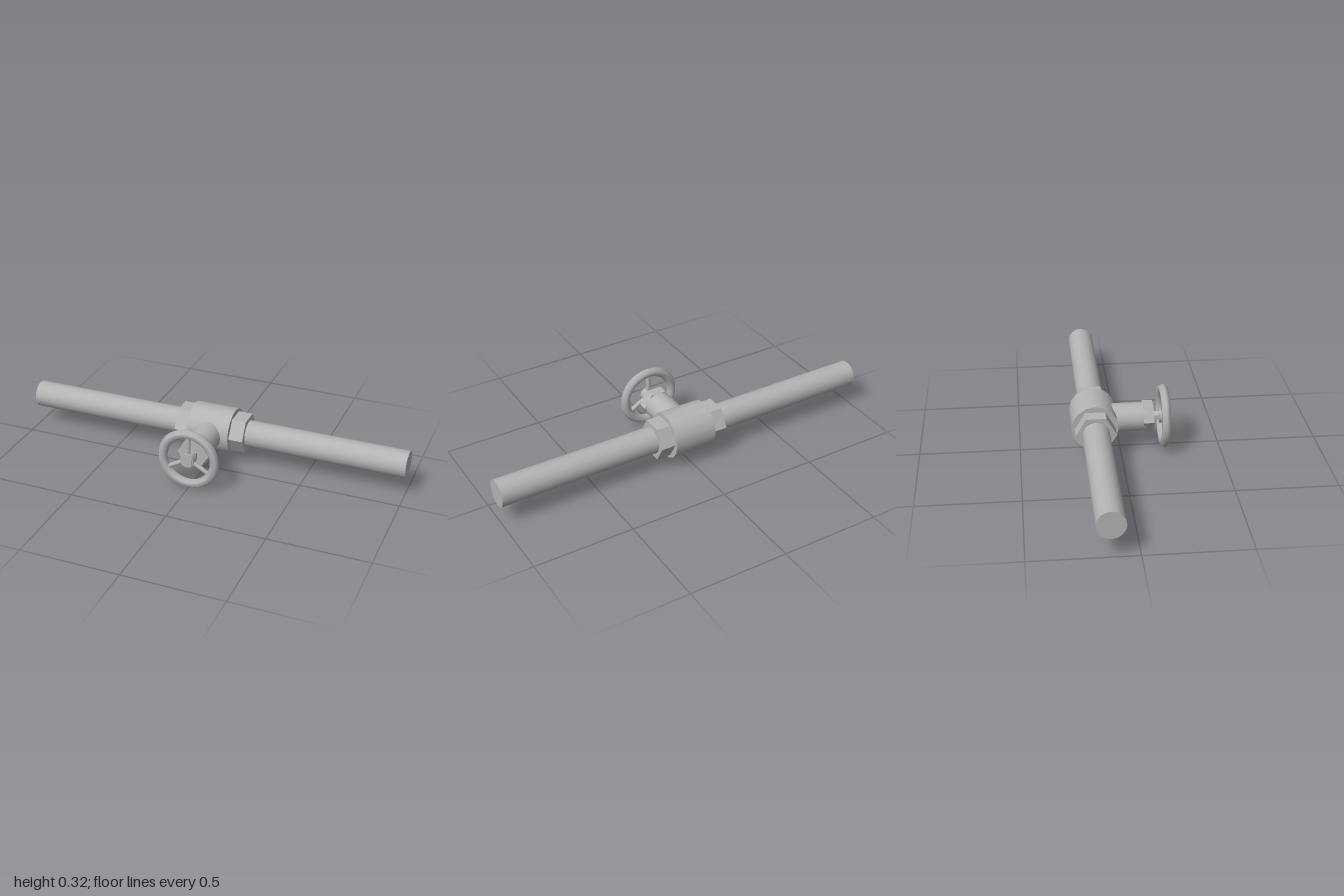
import * as THREE from 'three';

export function createModel() {
  const model = new THREE.Group();
  model.name = 'pipeValve';
  const steel = new THREE.MeshStandardMaterial({ color: 0xb4b4b4 });
  steel.name = 'grey steel';
  const flatSteel = steel.clone();
  flatSteel.flatShading = true;

  const Y = 0.162, PIPE_Z = -0.13;

  function add(parent, name, geometry, material = steel) {
    const mesh = new THREE.Mesh(geometry, material);
    mesh.name = name;
    parent.add(mesh);
    return mesh;
  }
  // Cylinder along x between two positions
  function alongX(name, r, x0, x1, sides, material) {
    const g = new THREE.CylinderGeometry(r, r, x1 - x0, sides).rotateZ(-Math.PI / 2);
    return add(model, name, g.translate((x0 + x1) / 2, Y, PIPE_Z), material);
  }
  // Cylinder along z between two positions, turned about its axis
  function alongZ(name, r, z0, z1, sides, material, turn = 0) {
    const g = new THREE.CylinderGeometry(r, r, z1 - z0, sides).rotateX(Math.PI / 2).rotateZ(turn);
    return add(model, name, g.translate(0, Y, (z0 + z1) / 2), material);
  }

  // Pipe run: body in the middle, a hex nut and a pipe on each side
  alongX('valveBody', 0.116, -0.11, 0.11, 16);
  for (const [side, s] of [['left', 1], ['right', -1]]) {
    const span = (a, b) => (s > 0 ? [a, b] : [-b, -a]);
    alongX(side + 'Nut', 0.1, ...span(0.1, 0.183), 6, flatSteel);
    alongX(side + 'Pipe', 0.068, ...span(0.17, 1), 16);
  }

  // Branch towards the handwheel
  alongZ('branch', 0.072, PIPE_Z, 0.13, 16);
  alongZ('bonnetNut', 0.08, 0.115, 0.166, 6, flatSteel, Math.PI / 2);
  alongZ('spindle', 0.026, 0.16, 0.215, 6, flatSteel);
  alongZ('wheelHub', 0.035, 0.197, 0.243, 12);
  alongZ('hubCap', 0.032, 0.24, 0.248, 6, flatSteel);

  // Handwheel: hexagonal-section rim with three spokes
  const wheel = new THREE.Group();
  wheel.name = 'handwheel';
  wheel.position.set(0, Y, 0.22);
  model.add(wheel);
  add(wheel, 'rim', new THREE.TorusGeometry(0.135, 0.0243, 6, 32));
  for (let i = 0; i < 3; i++) {
    const spoke = new THREE.CylinderGeometry(0.012, 0.012, 0.11, 8).translate(0, 0.075, 0);
    add(wheel, 'spoke', spoke.rotateZ((i * Math.PI * 2) / 3));
  }
  return model;
}
